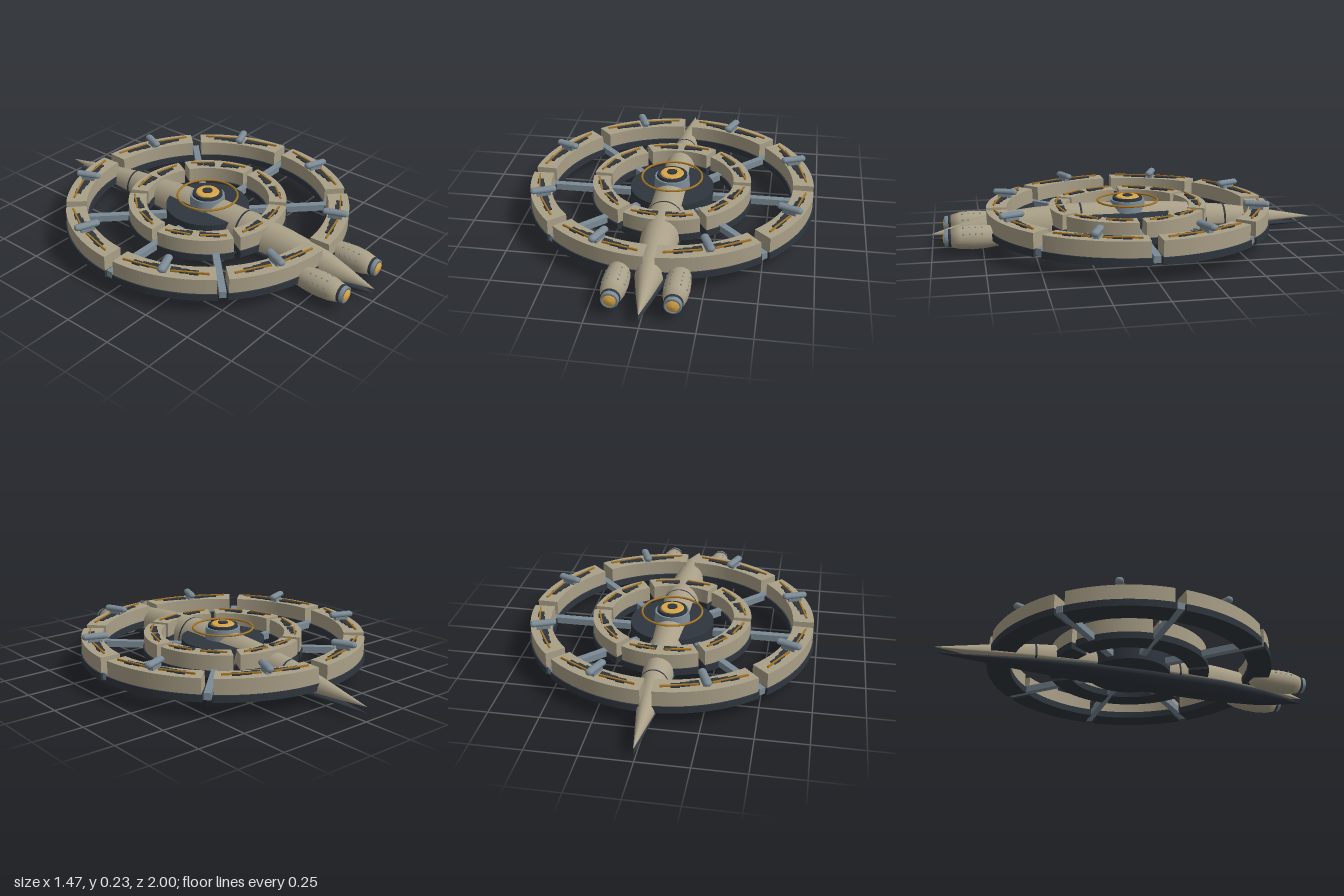
import * as THREE from 'three';

const mat = (name, color) => {
  const m = new THREE.MeshStandardMaterial({ color });
  m.name = name;
  return m;
};

export function createModel() {
  const model = new THREE.Group();
  model.name = 'ringStation';
  const beige = mat('hullBeige', 0xaaa088);
  const dark = mat('darkSlate', 0x2f363e);
  const steel = mat('blueSteel', 0x7c8b96);
  const gold = mat('gold', 0xd9a648);
  const amber = mat('amberTrim', 0xa87626);

  const add = (parent, name, geo, material, x = 0, y = 0, z = 0) => {
    const m = new THREE.Mesh(geo, material);
    m.name = name;
    m.position.set(x, y, z);
    parent.add(m);
    return m;
  };
  const group = (name, angle = 0) => {
    const g = new THREE.Group();
    g.name = name;
    g.rotation.y = angle;
    model.add(g);
    return g;
  };

  // Ring segment centred on the local +x axis
  const arcBlock = (inner, outer, half, y0, y1) => {
    const s = new THREE.Shape();
    s.absarc(0, 0, outer, -half, half, false);
    s.absarc(0, 0, inner, half, -half, true);
    s.closePath();
    const g = new THREE.ExtrudeGeometry(s, { depth: y1 - y0, bevelEnabled: false, curveSegments: 14 });
    g.rotateX(-Math.PI / 2);
    g.translate(0, y0, 0);
    return g;
  };

  // Rings with deck panels and trim strips
  const ring = (name, count, inner, outer, gap, offset, strip) => {
    const half = Math.PI / count - gap;
    const mid = (inner + outer) / 2;
    const body = arcBlock(inner, outer, half, 0.11, 0.19);
    const base = arcBlock(inner - 0.008, outer + 0.006, half + 0.006, 0.078, 0.113);
    for (let i = 0; i < count; i++) {
      const g = group(name + 'Segment', offset + (i * 2 * Math.PI) / count);
      add(g, 'segmentBody', body, beige);
      add(g, 'segmentBase', base, dark);
      for (const side of [-1, 1]) {
        // Stepped dark deck panels
        for (let k = 0; k < 3; k++) {
          const a = side * half * (0.2 + k * 0.19);
          const r = mid - 0.012 + k * 0.007;
          const p = add(g, 'deckPanel', new THREE.BoxGeometry(0.03, 0.008, half * mid * 0.18), dark,
            r * Math.cos(a), 0.193, -r * Math.sin(a));
          p.rotation.y = a;
        }
        // Straight amber strip
        const a = side * half * 0.5, r = mid + 0.006;
        const t = add(g, 'trimStrip', new THREE.BoxGeometry(0.008, 0.009, strip), amber,
          r * Math.cos(a), 0.197, -r * Math.sin(a));
        t.rotation.y = a * 0.8;
      }
    }
  };
  ring('outerRing', 8, 0.622, 0.727, 0.038, Math.PI / 8, 0.18);
  ring('innerRing', 6, 0.318, 0.408, 0.042, Math.PI / 6 + Math.PI / 3, 0.13);

  // Spokes and docking capsules
  for (let i = 0; i < 8; i++) {
    add(group('spokeArm', (i * Math.PI) / 4), 'spoke',
      new THREE.BoxGeometry(0.53, 0.034, 0.034), steel, 0.46, 0.103, 0);
    const g = group('dockingArm', ((i + 0.5) * Math.PI) / 4);
    const capsule = new THREE.CapsuleGeometry(0.016, 0.1, 6, 14);
    capsule.rotateZ(Math.PI / 2);
    add(g, 'dockingCapsule', capsule, steel, 0.665, 0.219, 0).scale.z = 1.25;
    add(g, 'dockingPedestal', new THREE.BoxGeometry(0.07, 0.03, 0.028), steel, 0.665, 0.2, 0);
  }

  // Hull lofted from [z, half width, centre y, height above, depth below]
  const loft = (rows) => {
    const N = 32, pos = [], idx = [];
    rows.forEach(([z, rx, yc, up, down]) => {
      for (let j = 0; j < N; j++) {
        const t = (j / N) * Math.PI * 2, s = Math.sin(t);
        pos.push(rx * Math.cos(t), yc + s * (s > 0 ? up : down), z);
      }
    });
    for (let i = 0; i < rows.length - 1; i++) {
      for (let j = 0; j < N; j++) {
        const k = (j + 1) % N, a = i * N, b = a + N;
        idx.push(a + j, a + k, b + j, a + k, b + k, b + j);
      }
    }
    const g = new THREE.BufferGeometry();
    g.setAttribute('position', new THREE.Float32BufferAttribute(pos, 3));
    g.setIndex(idx);
    g.computeVertexNormals();
    return g;
  };
  const upper = [
    [-1, 0.001, 0.074, 0.001, 0.001], [-0.85, 0.024, 0.074, 0.03, 0.012], [-0.7, 0.048, 0.075, 0.058, 0.02],
    [-0.5, 0.07, 0.078, 0.085, 0.025], [-0.25, 0.087, 0.08, 0.107, 0.03], [0, 0.098, 0.08, 0.12, 0.03],
    [0.3, 0.099, 0.08, 0.12, 0.03], [0.5, 0.089, 0.08, 0.107, 0.03], [0.72, 0.068, 0.078, 0.085, 0.025],
    [0.87, 0.034, 0.076, 0.042, 0.015], [1, 0.001, 0.074, 0.001, 0.001],
  ];
  add(model, 'upperHull', loft(upper), beige);
  add(model, 'lowerHull', loft([
    [-1, 0.001, 0.044, 0.001, 0.001], [-0.8, 0.028, 0.046, 0.012, 0.012], [-0.5, 0.066, 0.052, 0.028, 0.028],
    [-0.2, 0.09, 0.056, 0.036, 0.043], [0.1, 0.1, 0.058, 0.04, 0.053], [0.5, 0.096, 0.06, 0.036, 0.058],
    [0.75, 0.066, 0.056, 0.026, 0.045], [0.9, 0.03, 0.052, 0.015, 0.022], [1, 0.001, 0.048, 0.001, 0.001],
  ]), dark);

  // Dark seams around the hull
  const seam = (z, rx, up) => add(model, 'hullSeam',
    loft([[z - 0.005, rx, 0.079, up, 0.03], [z + 0.005, rx, 0.079, up, 0.03]]), dark);
  seam(-0.51, 0.072, 0.087);
  seam(0.25, 0.101, 0.123);

  // Central hub and stacked dome
  const disc = (name, r, y0, y1, m, top = r) => add(model, name,
    new THREE.CylinderGeometry(top, r, y1 - y0, 48), m, 0, (y0 + y1) / 2, 0);
  disc('hubDrum', 0.215, 0.066, 0.155, dark);
  disc('domeCollar', 0.094, 0.14, 0.212, steel, 0.088);
  disc('domeRim', 0.08, 0.2, 0.225, dark, 0.076);
  disc('domeLamp', 0.07, 0.215, 0.231, gold, 0.055);
  disc('domeCap', 0.026, 0.225, 0.236, dark);
  const halo = new THREE.TorusGeometry(0.155, 0.0055, 8, 64);
  halo.rotateX(Math.PI / 2);
  add(model, 'hubHalo', halo, amber, 0, 0.207, 0);

  // Engine pods
  const turned = (pts) => {
    const g = new THREE.LatheGeometry(pts.map(([r, z]) => new THREE.Vector2(r, z)), 28);
    g.rotateX(Math.PI / 2);
    return g;
  };
  for (const side of [-1, 1]) {
    const pod = group(side > 0 ? 'leftPod' : 'rightPod');
    pod.position.set(side * 0.14, 0.088, 0);
    add(pod, 'podBody', turned([[0, 0.63], [0.035, 0.635], [0.05, 0.68], [0.058, 0.74], [0.061, 0.8],
      [0.057, 0.86], [0.046, 0.905], [0, 0.906]]), beige);
    add(pod, 'podCollar', turned([[0.044, 0.9], [0.044, 0.918], [0.034, 0.918]]), dark);
    add(pod, 'podNozzle', turned([[0.041, 0.91], [0.041, 0.936], [0.03, 0.938], [0.03, 0.92]]), steel);
    add(pod, 'podLamp', turned([[0.032, 0.92], [0.032, 0.935], [0.024, 0.942], [0, 0.946]]), gold);
    // Porthole dots
    for (let i = 0; i < 4; i++) {
      for (const a of [0.5, 1.15, 2, 2.65]) {
        add(pod, 'porthole', new THREE.SphereGeometry(0.005, 8, 6), steel,
          0.058 * Math.cos(a), 0.058 * Math.sin(a), 0.755 + i * 0.03);
      }
    }
  }
  return model;
}
